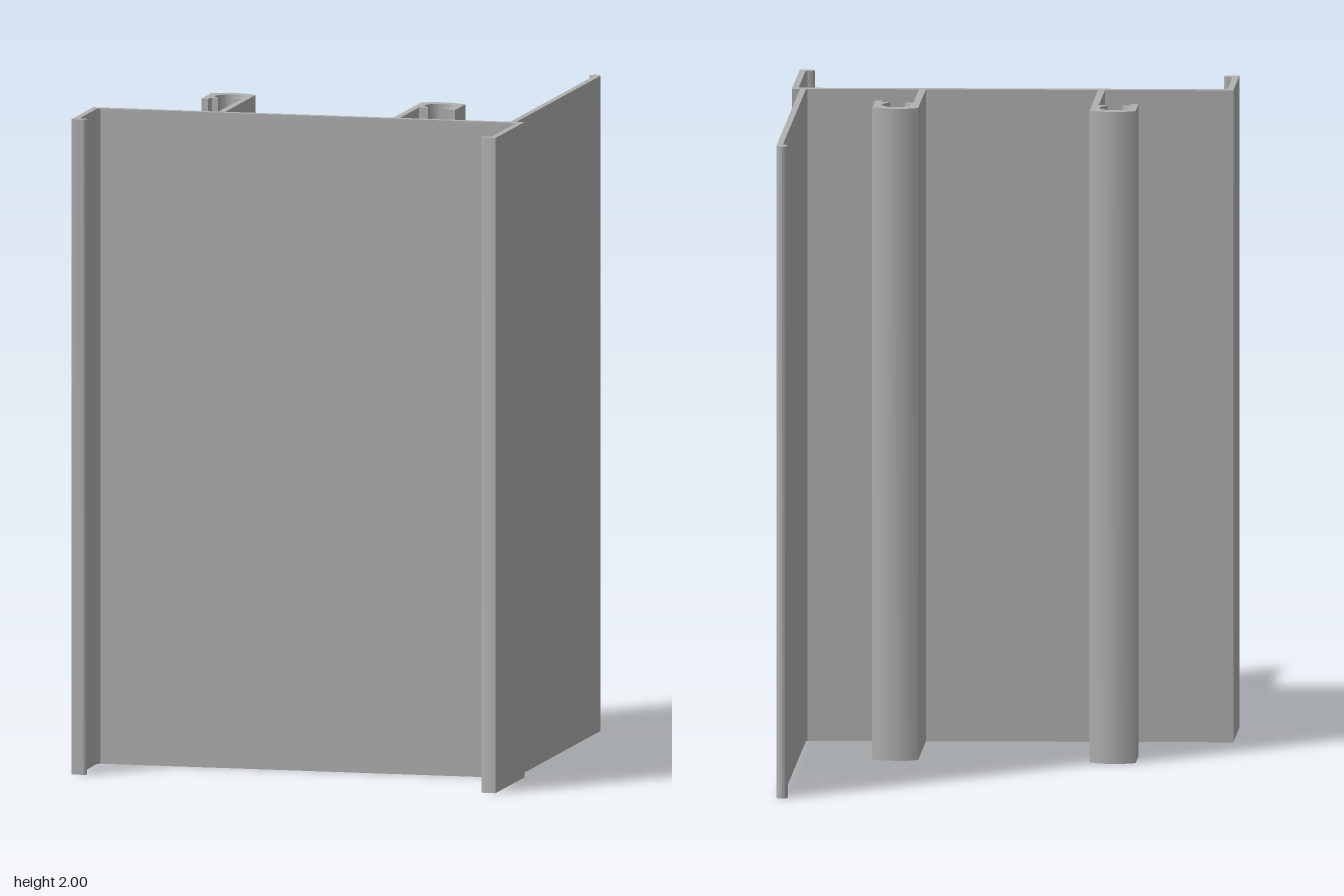
import * as THREE from 'three';
import { toCreasedNormals } from 'three/addons/utils/BufferGeometryUtils.js';

const HEIGHT = 2;

export function createModel() {
  const group = new THREE.Group();
  const aluminium = new THREE.MeshStandardMaterial({ color: 0xb0b0b0 });
  aluminium.name = 'aluminium grey';

  // Extrudes an outline of [x, z] points straight up.
  function addProfile(name, points) {
    const shape = new THREE.Shape(points.map(([x, z]) => new THREE.Vector2(x, -z)));
    const geometry = new THREE.ExtrudeGeometry(shape, { depth: HEIGHT, bevelEnabled: false });
    geometry.rotateX(-Math.PI / 2);
    const mesh = new THREE.Mesh(toCreasedNormals(geometry, 0.6), aluminium);
    mesh.name = name;
    group.add(mesh);
  }

  // Points along an arc, angles in degrees, 90 pointing to the back (-z).
  function arc(cx, cz, r, from, to, steps = 10) {
    return Array.from({ length: steps + 1 }, (_, i) => {
      const a = THREE.MathUtils.degToRad(from + ((to - from) * i) / steps);
      return [cx + r * Math.cos(a), cz - r * Math.sin(a)];
    });
  }

  // Sloping web with a front leg and inward rounded lip at each edge
  addProfile('webAndLegs', [
    [-0.666, 0.385], [0.644, 0.308], [0.663, 0.307], [0.663, 0.625],
    ...arc(0.628, 0.614, 0.011, 270, 90, 8),
    [0.638, 0.603], [0.644, 0.597], [0.644, 0.337], [0.636, 0.329],
    [-0.639, 0.403], [-0.647, 0.411], [-0.647, 0.597], [-0.641, 0.603],
    ...arc(-0.631, 0.614, 0.011, 90, -90, 8),
    [-0.666, 0.625],
  ]);

  // Tall rear fin with a rounded bead along its edge
  addProfile('rearFin', [
    [0.638, 0.315], [0.638, -0.616],
    ...arc(0.621, -0.616, 0.017, 0, 285, 20),
    [0.62, -0.597], [0.62, 0.302], [0.613, 0.315],
  ]);

  // Mirrored stems, each ending in a screw channel that hooks outward
  function addChannel(name, side, webZ) {
    const crown = Array.from({ length: 13 }, (_, i) => {
      const t = i / 6 - 1;
      return [0.329 + 0.0695 * t, 0.005 + 0.021 * t * t];
    });
    const outline = [
      [0.259, webZ],
      ...crown,
      [0.398, 0.138], [0.377, 0.138], [0.377, 0.122], [0.371, 0.116],
      [0.352, 0.116], [0.354, 0.108],
      ...arc(0.329, 0.079, 0.044, -5, 185, 18),
      [0.304, 0.108], [0.306, 0.116], [0.275, 0.116], [0.28, 0.122],
      [0.28, webZ],
    ];
    addProfile(name, outline.map(([x, z]) => [side * x, z]));
  }
  addChannel('leftScrewChannel', 1, 0.339);
  addChannel('rightScrewChannel', -1, 0.371);

  return group;
}
